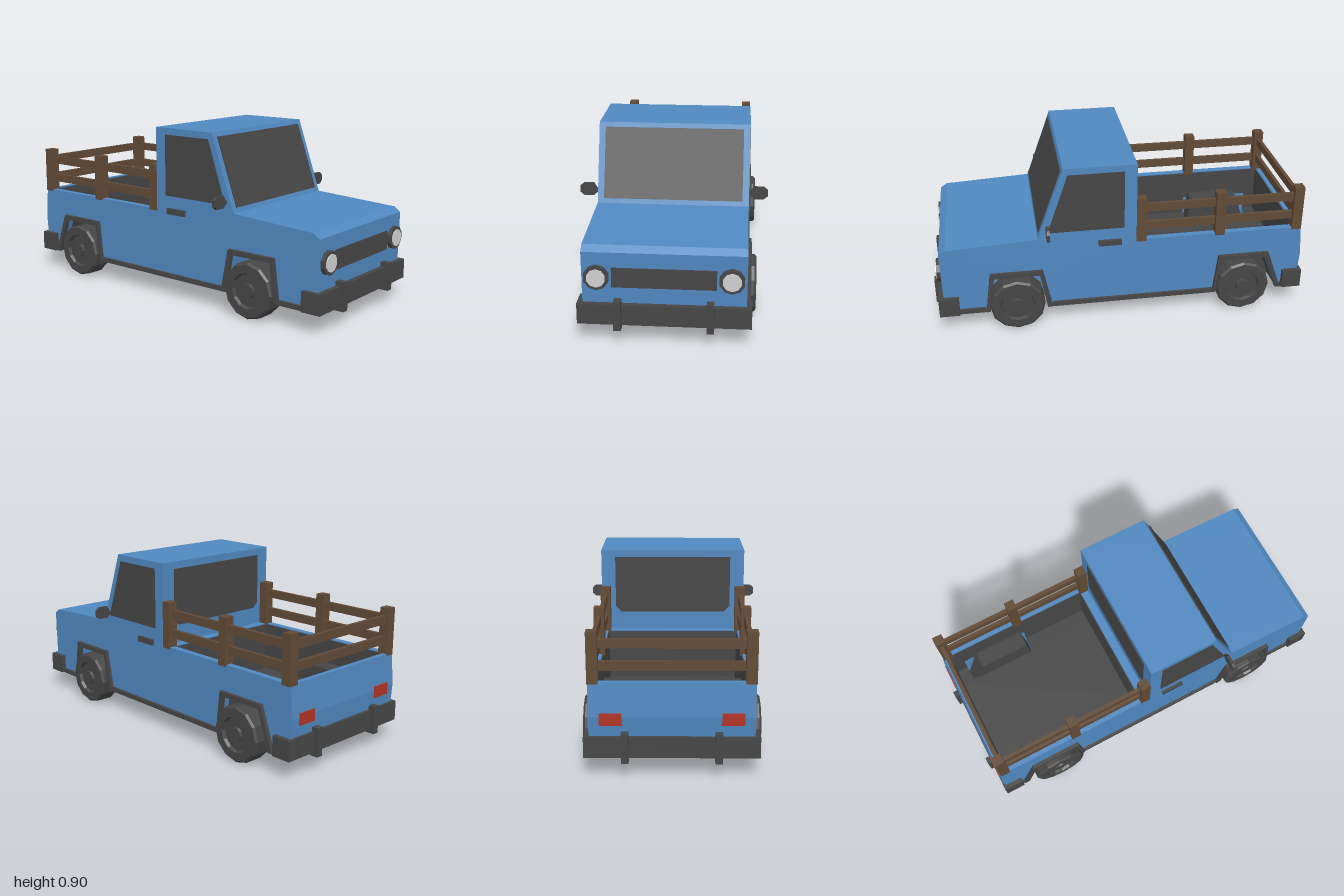
import * as THREE from 'three';

export function createModel() {
  const truck = new THREE.Group();
  truck.name = 'pickupTruck';
  const mat = (name, color, side = THREE.FrontSide) => {
    const m = new THREE.MeshStandardMaterial({ color, side, flatShading: true });
    m.name = name;
    return m;
  };
  const blue = mat('bluePaint', 0x5088c0);
  const dark = mat('darkTrim', 0x464646);
  const wood = mat('brownWood', 0x614a36);
  const white = mat('lampGlass', 0xd0d0d0);
  const red = mat('tailRed', 0xb03424);

  const add = (name, geo, m) => {
    const mesh = new THREE.Mesh(geo, m);
    mesh.name = name;
    truck.add(mesh);
    return mesh;
  };
  // Box given by its limits on each axis
  const box = (name, m, x0, x1, y0, y1, z0, z1) => {
    const g = new THREE.BoxGeometry(Math.abs(x1 - x0), y1 - y0, Math.abs(z1 - z0));
    g.translate((x0 + x1) / 2, (y0 + y1) / 2, (z0 + z1) / 2);
    return add(name, g, m);
  };
  // Side outline of [z, y] points, extruded across x from x0 to x1
  const slab = (name, m, pts, x0, x1) => {
    const w = Math.abs(x1 - x0);
    const shape = new THREE.Shape(pts.map(p => new THREE.Vector2(p[0], p[1])));
    const g = new THREE.ExtrudeGeometry(shape, { depth: w, bevelEnabled: false });
    g.translate(0, 0, -w / 2).rotateY(-Math.PI / 2).translate((x0 + x1) / 2, 0, 0);
    return add(name, g, m);
  };

  // Wheel arch outlines, front to back
  const frontArch = {
    outer: [[0.735, 0.105], [0.705, 0.33], [0.43, 0.33], [0.385, 0.105]],
    inner: [[0.715, 0.105], [0.685, 0.305], [0.447, 0.305], [0.412, 0.105]],
  };
  const rearArch = {
    outer: [[-0.485, 0.105], [-0.51, 0.33], [-0.785, 0.33], [-0.865, 0.105]],
    inner: [[-0.5, 0.105], [-0.527, 0.305], [-0.772, 0.305], [-0.838, 0.105]],
  };
  const sillY = (pts) => pts.map(([z, y]) => [z, Math.max(y, 0.11)]);

  // Cab and bonnet
  const cabTop = [[-0.11, 0.11], [-0.11, 0.465], [-0.065, 0.465], [-0.065, 0.9], [0.31, 0.9],
    [0.45, 0.51], [0.92, 0.485], [0.955, 0.46], [0.95, 0.11]];
  slab('cabCore', blue, cabTop, -0.27, 0.27);

  // Cargo bed floor, tailgate and liner
  box('bedFloor', blue, -0.26, 0.26, 0.11, 0.195, -0.94, -0.11);
  slab('tailgate', blue, [[-0.93, 0.11], [-0.955, 0.11], [-0.97, 0.3], [-0.955, 0.465], [-0.93, 0.465]], -0.35, 0.35);
  box('bedFloorLiner', dark, -0.26, 0.26, 0.195, 0.2, -0.93, -0.11);
  box('bedFrontLiner', dark, -0.35, 0.35, 0.2, 0.46, -0.115, -0.11);
  box('bedRearLiner', dark, -0.35, 0.35, 0.2, 0.46, -0.93, -0.925);

  // Tyre with recessed rim, turned about the axle
  const tyreProfile = [[0, -0.055], [0.13, -0.055], [0.145, -0.045], [0.145, 0.048], [0.135, 0.058],
    [0.092, 0.058], [0.085, 0.042], [0, 0.042]].map(p => new THREE.Vector2(p[0], p[1]));

  for (const s of [-1, 1]) {
    // Body sides
    slab('cabSide', blue, [...cabTop, ...sillY(frontArch.inner)], s * 0.27, s * 0.385);
    slab('bedSide', blue, [[-0.955, 0.11], [-0.97, 0.3], [-0.955, 0.465], [-0.11, 0.465], [-0.11, 0.11],
      ...sillY(rearArch.inner)], s * 0.35, s * 0.385);
    box('bedSideLiner', dark, s * 0.345, s * 0.35, 0.3, 0.46, -0.93, -0.11);

    // Bed floor beside the wheel housings
    for (const [z0, z1] of [[-0.485, -0.11], [-0.93, -0.865]]) {
      box('bedFloorEdge', blue, s * 0.26, s * 0.35, 0.11, 0.195, z0, z1);
      box('bedFloorEdgeLiner', dark, s * 0.26, s * 0.35, 0.195, 0.2, z0, z1);
      box('bedLowerLiner', dark, s * 0.345, s * 0.35, 0.2, 0.3, z0, z1);
    }
    // Rear wheel housing
    slab('wheelHousing', dark, [...sillY(rearArch.outer), ...sillY(rearArch.inner).reverse()], s * 0.26, s * 0.35);
    slab('wheelHousingWall', dark, sillY(rearArch.outer), s * 0.255, s * 0.265);

    // Arch trims and sills
    for (const a of [frontArch, rearArch])
      slab('archTrim', dark, [...a.outer, ...[...a.inner].reverse()], s * 0.38, s * 0.405);
    for (const [z0, z1] of [[0.735, 0.9], [-0.485, 0.385], [-0.9, -0.865]])
      box('sill', dark, s * 0.37, s * 0.4, 0.103, 0.127, z0, z1);

    // Wheels
    for (const z of [0.57, -0.645]) {
      const wheel = new THREE.Group();
      wheel.name = 'wheel';
      const tyre = new THREE.Mesh(new THREE.LatheGeometry(tyreProfile, 12), dark);
      tyre.name = 'tyre';
      const hub = new THREE.Mesh(new THREE.CylinderGeometry(0.034, 0.038, 0.014, 10), dark);
      hub.name = 'hub';
      hub.position.y = 0.048;
      wheel.add(tyre, hub);
      wheel.rotation.z = -s * Math.PI / 2;
      wheel.position.set(s * 0.372, 0.146, z);
      truck.add(wheel);
    }

    // Side window and door handle
    slab('sideWindow', dark, [[0.398, 0.545], [0.288, 0.865], [0, 0.865], [0, 0.545]], s * 0.382, s * 0.388);
    box('doorHandle', dark, s * 0.38, s * 0.4, 0.45, 0.48, 0.015, 0.135);

    // Mirror, an eight-cornered plate with a tapering stem
    const mirror = new THREE.Shape([[0.375, 0.56], [0.395, 0.575], [0.41, 0.6], [0.46, 0.6], [0.48, 0.583],
      [0.48, 0.552], [0.46, 0.535], [0.41, 0.535], [0.395, 0.55]].map(p => new THREE.Vector2(s * p[0], p[1])));
    add('mirror', new THREE.ExtrudeGeometry(mirror, { depth: 0.016, bevelEnabled: false }).translate(0, 0, 0.392), dark);

    // Headlamp
    for (const [name, r, d, m] of [['headlampRim', 0.061, 0.03, dark], ['headlampGlass', 0.045, 0.036, white]]) {
      const lamp = add(name, new THREE.CylinderGeometry(r, r, d, 10), m);
      lamp.rotation.x = Math.PI / 2;
      lamp.position.set(s * 0.315, 0.338, 0.944 + d / 2);
    }
    // Tail lamp
    box('tailLamp', red, s * 0.23, s * 0.335, 0.26, 0.32, -0.974, -0.95);

    // Fence posts and side rails
    for (const z of [-0.09, -0.51, -0.93])
      box('fencePost', wood, s * 0.337, s * 0.389, 0.455, 0.702, z - 0.026, z + 0.026);
    for (const y of [0.515, 0.62])
      box('sideRail', wood, s * 0.353, s * 0.373, y, y + 0.044, -0.93, -0.09);
  }

  // Rear rails
  for (const y of [0.515, 0.62]) box('rearRail', wood, -0.36, 0.36, y, y + 0.044, -0.94, -0.92);

  // Bumpers with wrapped ends and upright guards
  for (const e of [1, -1]) {
    box('bumper', dark, -0.41, 0.41, 0.102, 0.205, e * 0.945, e * 0.978);
    for (const s of [-1, 1]) {
      box('bumperEnd', dark, s * 0.38, s * 0.41, 0.102, 0.205, e * 0.873, e * 0.945);
      box('bumperGuard', dark, s * 0.2, s * 0.235, 0.082, 0.228, e * 0.95, e * 1);
    }
  }

  // Grille
  box('grille', dark, -0.245, 0.245, 0.287, 0.385, 0.945, 0.96);

  // Windscreen plate laid on the slope
  const screen = add('windscreen', new THREE.BoxGeometry(0.705, 0.365, 0.008), dark);
  screen.position.set(0, 0.705, 0.381);
  screen.rotation.x = -Math.atan2(0.14, 0.39);

  // Rear window with cut lower corners
  const rear = new THREE.Shape([[-0.28, 0.56], [0.28, 0.56], [0.31, 0.59], [0.31, 0.862], [-0.31, 0.862],
    [-0.31, 0.59]].map(p => new THREE.Vector2(p[0], p[1])));
  add('rearWindow', new THREE.ExtrudeGeometry(rear, { depth: 0.008, bevelEnabled: false }).translate(0, 0, -0.069), dark);

  return truck;
}
